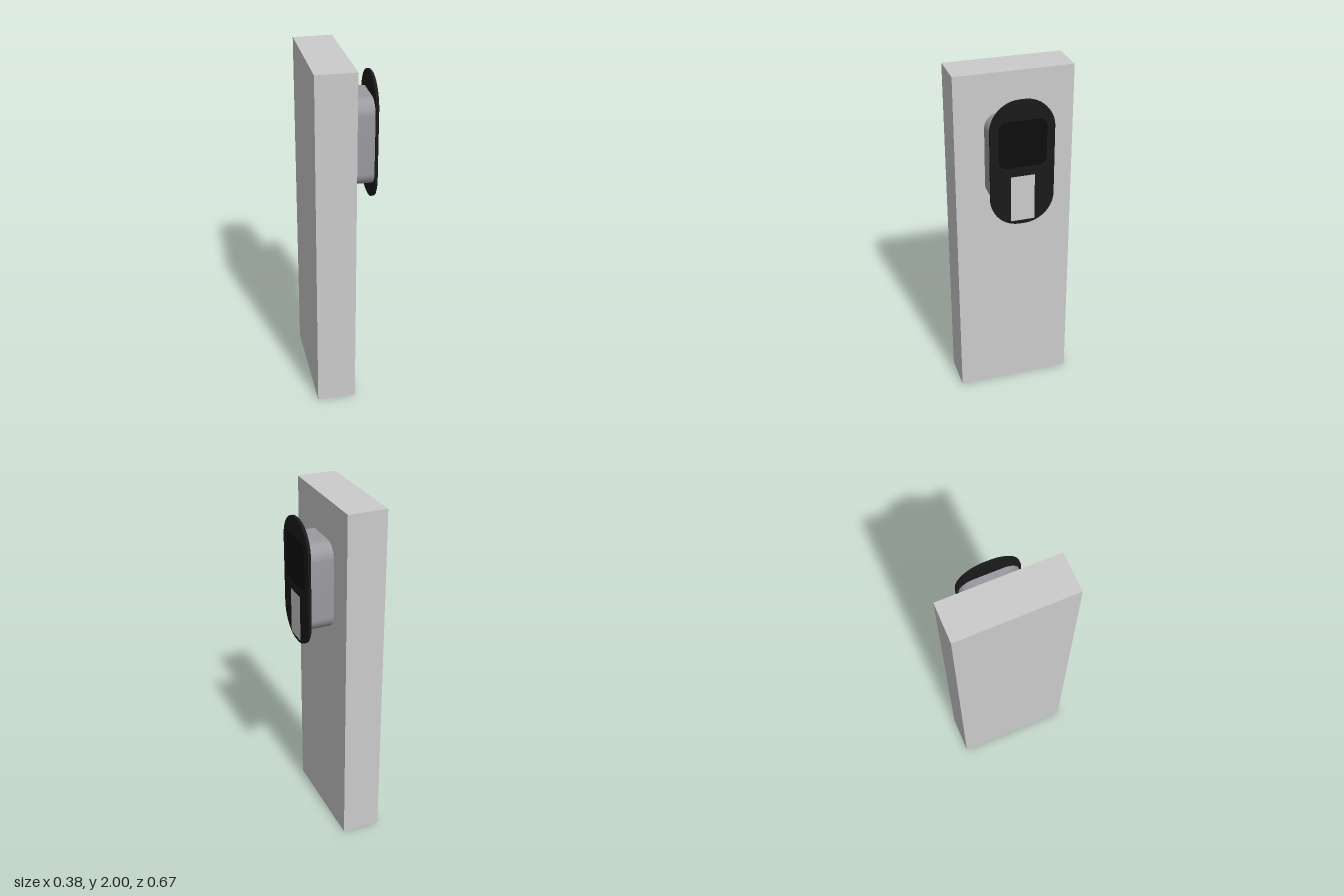
import * as THREE from 'three';
import { toCreasedNormals } from 'three/addons/utils/BufferGeometryUtils.js';

// Rounded rectangle centred on the origin
function roundedRect(w, h, r) {
  const s = new THREE.Shape(), x = w / 2 - r, y = h / 2 - r;
  s.absarc(x, y, r, 0, Math.PI / 2);
  s.absarc(-x, y, r, Math.PI / 2, Math.PI);
  s.absarc(-x, -y, r, Math.PI, Math.PI * 1.5);
  s.absarc(x, -y, r, Math.PI * 1.5, Math.PI * 2);
  s.closePath();
  return s;
}

export function createModel() {
  const model = new THREE.Group();

  function add(name, geometry, color, x, y, side = THREE.FrontSide) {
    const mesh = new THREE.Mesh(geometry, new THREE.MeshStandardMaterial({ color, side }));
    mesh.name = name;
    mesh.position.set(x, y, 0);
    model.add(mesh);
  }

  // Rounded slab extruded towards +x
  function slab(w, h, r, depth) {
    const g = new THREE.ExtrudeGeometry(roundedRect(w, h, r), { depth, bevelEnabled: false, curveSegments: 16 });
    return toCreasedNormals(g.rotateY(Math.PI / 2), 0.6);
  }

  // Upright post
  add('post', new THREE.BoxGeometry(0.222, 2, 0.667), 0xcccccc, -0.078, 1);

  // Housing and face plate on the post's +x side
  add('housing', slab(0.334, 0.5, 0.085, 0.135), 0x9a9ba0, 0.033, 1.53);
  add('facePlate', slab(0.356, 0.72, 0.165, 0.016), 0x1a1a1a, 0.167, 1.533);

  // Thin panels just proud of the plate
  const screen = new THREE.ShapeGeometry(roundedRect(0.266, 0.266, 0.045), 12).rotateY(Math.PI / 2);
  add('screen', screen, 0x0d0d0d, 0.187, 1.651, THREE.DoubleSide);
  const label = new THREE.PlaneGeometry(0.134, 0.267).rotateY(Math.PI / 2);
  add('lightPanel', label, 0xcccccc, 0.189, 1.332, THREE.DoubleSide);

  return model;
}
